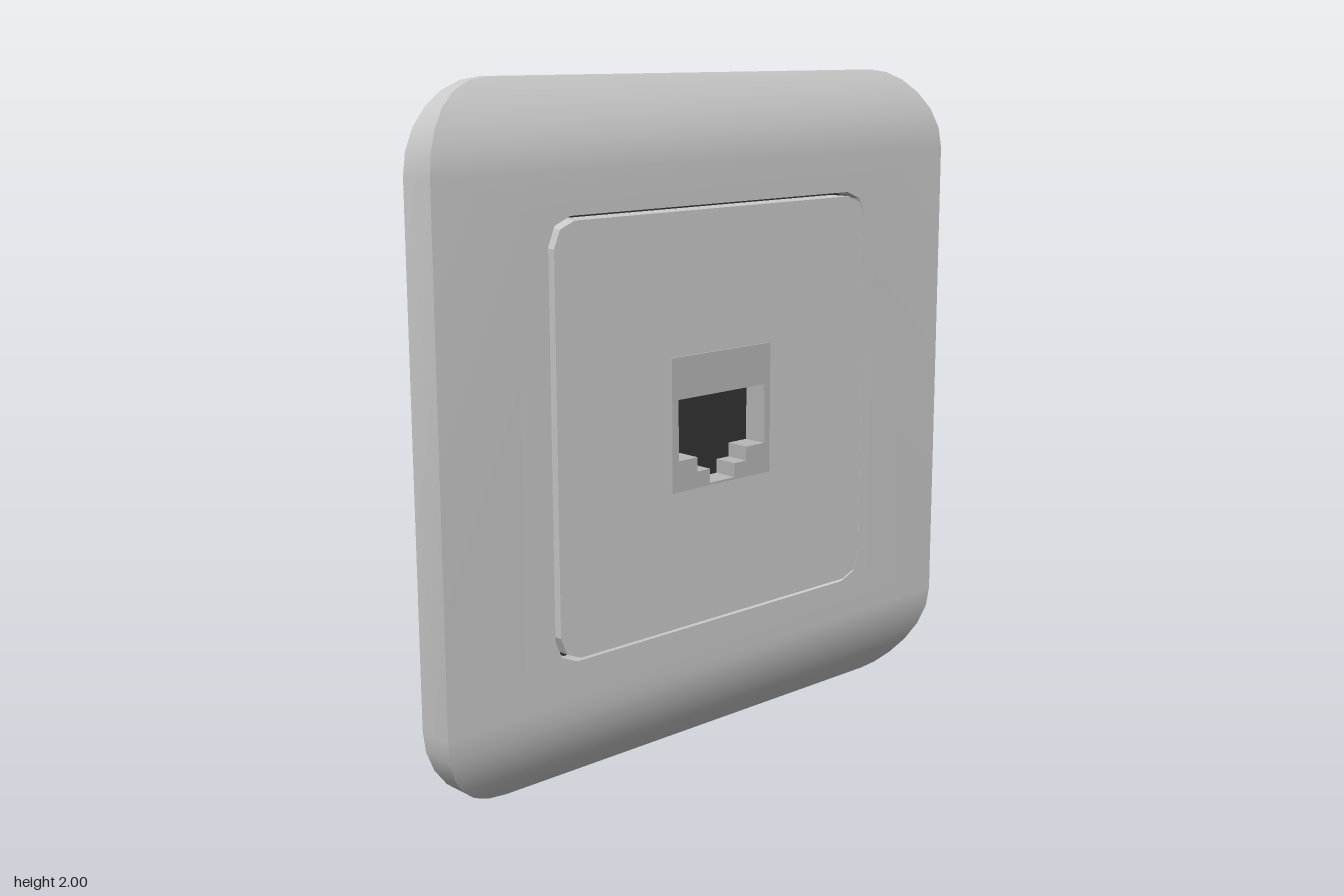
import * as THREE from 'three';
import { toCreasedNormals } from 'three/addons/utils/BufferGeometryUtils.js';

const BACK = -0.07, FRONT = 0.05, FLOOR = -0.012;
const grey = new THREE.MeshStandardMaterial({ color: 0xcccccc });
const jackGrey = new THREE.MeshStandardMaterial({ color: 0xb8b8b8 });
const dark = new THREE.MeshStandardMaterial({ color: 0x333333 });

// Square outline centred on y = 1 with corners rounded in n steps, counter-clockwise
function roundedSquare(half, radius, n) {
  const pts = [];
  for (let c = 0; c < 4; c++) {
    const mid = Math.PI / 4 + c * Math.PI / 2;
    const cx = Math.sign(Math.cos(mid)) * (half - radius);
    const cy = 1 + Math.sign(Math.sin(mid)) * (half - radius);
    for (let i = 0; i <= n; i++) {
      const a = (c + i / n) * Math.PI / 2;
      pts.push(new THREE.Vector2(cx + radius * Math.cos(a), cy + radius * Math.sin(a)));
    }
  }
  return pts;
}

function polygon(list) {
  return list.map(([x, y]) => new THREE.Vector2(x, y));
}

function shapeWithHole(outline, hole) {
  const shape = new THREE.Shape(outline);
  shape.holes.push(new THREE.Path(hole));
  return shape;
}

function slab(outline, hole, zTop) {
  const geo = new THREE.ExtrudeGeometry(shapeWithHole(outline, hole), {
    depth: zTop - FLOOR, bevelEnabled: false,
  });
  return geo.translate(0, 0, FLOOR);
}

// Cover plate: rounded outline, front curving back towards the top and bottom edges
function plateGeometry(hole) {
  const radius = 0.25, steps = 6, rows = [];
  for (let i = 0; i <= steps; i++) {
    const a = (i / steps) * Math.PI / 2, s = Math.sin(a);
    rows.push({ h: 0.75 + radius * s, w: 0.75 + radius * Math.cos(a), z: FRONT - 0.085 * s * s });
  }
  const section = (r, side) => {
    const y = 1 + side * r.h;
    return [[r.w, y, r.z], [-r.w, y, r.z], [-r.w, y, BACK], [r.w, y, BACK]];
  };
  const rings = [
    ...rows.slice().reverse().map((r) => section(r, -1)),
    ...rows.map((r) => section(r, 1)),
  ];
  const pos = [];
  const quad = (a, b, c, d) => pos.push(...a, ...b, ...c, ...a, ...c, ...d);

  for (let k = 0; k < rings.length - 1; k++) {
    const lo = rings[k], hi = rings[k + 1];
    for (let i = 0; i < 4; i++) {
      if (i === 0 && k === steps) continue; // flat middle of the front has the hole
      const j = (i + 1) % 4;
      quad(lo[j], lo[i], hi[i], hi[j]);
    }
  }
  // Top and bottom edges
  const [tA, tB, tC, tD] = rings[rings.length - 1];
  quad(tA, tD, tC, tB);
  quad(...rings[0]);

  // Flat front around the hole
  const middle = polygon([[-1, 0.25], [1, 0.25], [1, 1.75], [-1, 1.75]]);
  const flat = new THREE.ShapeGeometry(shapeWithHole(middle, hole)).toNonIndexed();
  for (const v of flat.attributes.position.array) pos.push(v);
  const shifted = pos.length - flat.attributes.position.array.length;
  for (let i = shifted + 2; i < pos.length; i += 3) pos[i] = FRONT;

  // Walls of the recess
  hole.forEach((p, i) => {
    const q = hole[(i + 1) % hole.length];
    quad([q.x, q.y, FLOOR], [p.x, p.y, FLOOR], [p.x, p.y, FRONT], [q.x, q.y, FRONT]);
  });

  const geo = new THREE.BufferGeometry();
  geo.setAttribute('position', new THREE.Float32BufferAttribute(pos, 3));
  return toCreasedNormals(geo, 0.6);
}

export function createModel() {
  const group = new THREE.Group();
  const add = (name, geo, material) => {
    const mesh = new THREE.Mesh(geo, material);
    mesh.name = name;
    group.add(mesh);
  };

  const recess = roundedSquare(0.63, 0.078, 2);
  const jackOutline = polygon([[-0.2, 0.8], [0.2, 0.8], [0.2, 1.2], [-0.2, 1.2]]);

  // Stepped socket opening, mirrored about x = 0
  const half = [[0.05, 0.807], [0.05, 0.85], [0.1, 0.85], [0.1, 0.893], [0.175, 0.893], [0.175, 1.075]];
  const opening = polygon([...half, ...half.slice().reverse().map(([x, y]) => [-x, y])]);

  add('coverPlate', plateGeometry(recess), grey);
  add('recessFloor', new THREE.ShapeGeometry(new THREE.Shape(recess)).translate(0, 0, FLOOR), dark);
  add('centrePanel', slab(roundedSquare(0.618, 0.072, 2), jackOutline, 0.06), grey);
  add('socketJack', slab(jackOutline, opening, 0.065), jackGrey);
  return group;
}
